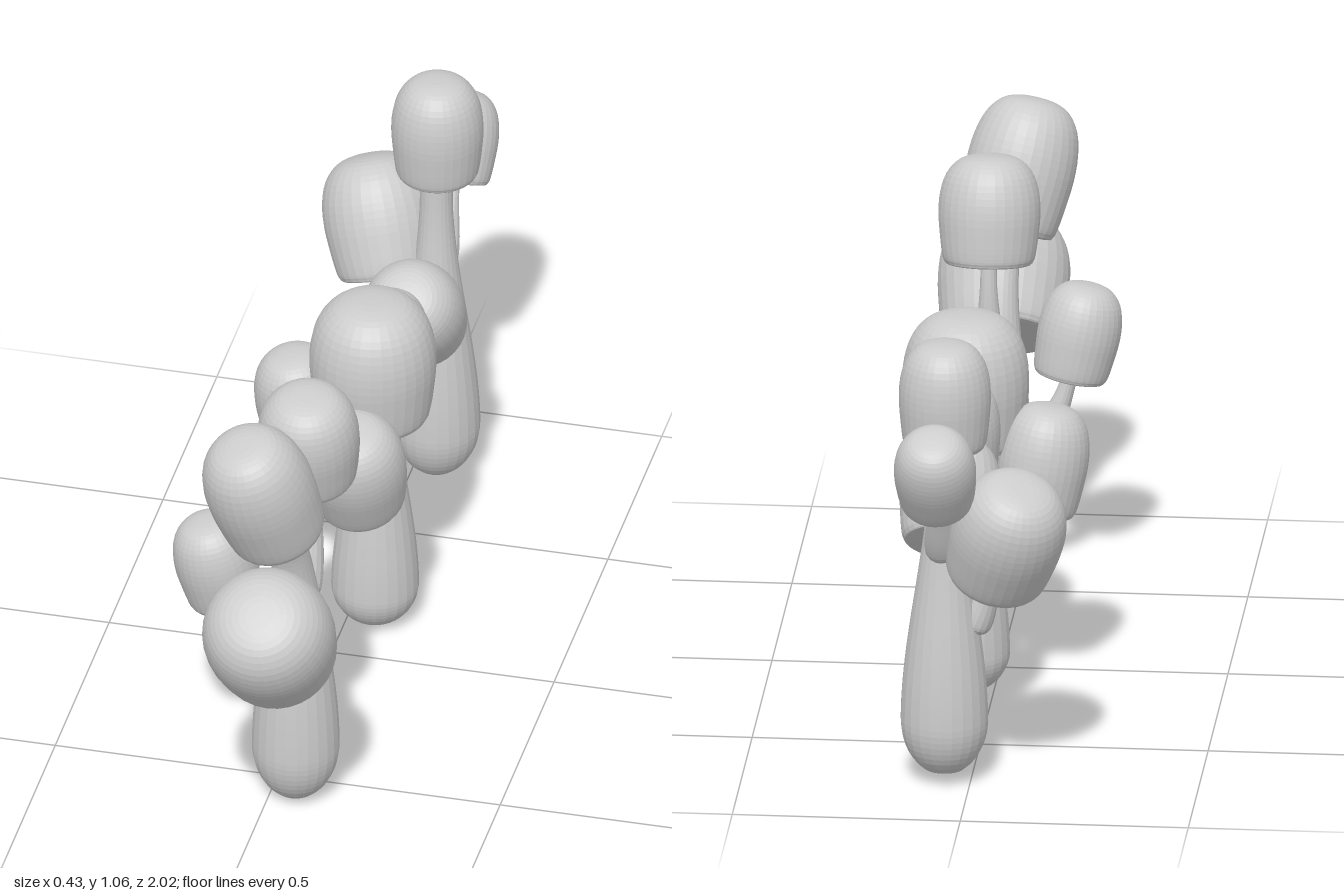
import * as THREE from 'three';
import { mergeVertices } from 'three/addons/utils/BufferGeometryUtils.js';

const { lerp, smoothstep } = THREE.MathUtils;
const vec = (x, y, z) => new THREE.Vector3(x, y, z);
const material = new THREE.MeshStandardMaterial({ color: 0xcccccc, flatShading: true });

// Half outline of a cap: flat underside, rounded lip, bulging dome
const capOutline = new THREE.SplineCurve([
  [0, 0], [0.74, 0], [0.87, 0.03], [0.92, 0.1], [0.965, 0.26], [1, 0.46],
  [0.97, 0.65], [0.85, 0.82], [0.62, 0.94], [0.32, 0.99], [0, 1],
].map(([x, y]) => new THREE.Vector2(x, y))).getPoints(30);

// Round limb along a curve: rounded foot, then narrowing from radius r0 to r1
function limb(name, curve, r0, r1, rings, sides) {
  const geometry = new THREE.TubeGeometry(curve, rings, 1, sides);
  const pos = geometry.attributes.position;
  for (let i = 0; i < pos.count; i++) {
    const t = Math.floor(i / (sides + 1)) / rings;
    const centre = curve.getPointAt(t);
    const foot = Math.sqrt(1 - (1 - Math.min(t / 0.16, 1)) ** 2);
    const radius = foot * lerp(r0, r1, smoothstep(t, 0.15, 0.9));
    const v = vec().fromBufferAttribute(pos, i).sub(centre).multiplyScalar(radius).add(centre);
    pos.setXYZ(i, v.x, v.y, v.z);
  }
  geometry.deleteAttribute('uv');
  geometry.deleteAttribute('normal');
  const merged = mergeVertices(geometry);
  merged.computeVertexNormals();
  const mesh = new THREE.Mesh(merged, material);
  mesh.name = name;
  return mesh;
}

// Bulbous trunk through the given points, ending inside the top cap
const trunk = (topRadius, ...points) =>
  limb('trunk', new THREE.CatmullRomCurve3(points), 0.096, topRadius, 56, 24);

// Cap of radius r and height h on its base centre, leaning by x and z per unit of height
function cap(name, r, h, base, leanX, leanZ) {
  const outline = capOutline.map((p) => new THREE.Vector2(Math.max(p.x, 0) * r, p.y * h));
  const mesh = new THREE.Mesh(new THREE.LatheGeometry(outline, 32), material);
  mesh.name = name;
  mesh.position.copy(base);
  mesh.quaternion.setFromUnitVectors(vec(0, 1, 0), vec(leanX, 1, leanZ).normalize());
  return mesh;
}

// Side cap with a branch that leaves the trunk at root and meets the cap along its axis
function sideCap(name, r, h, base, leanX, leanZ, root) {
  const group = new THREE.Group();
  group.name = name;
  const up = vec(leanX, 1, leanZ).normalize();
  const bend = base.clone().addScaledVector(up, -0.45 * root.distanceTo(base));
  const end = base.clone().addScaledVector(up, 0.015);
  const curve = new THREE.QuadraticBezierCurve3(root, bend, end);
  group.add(cap('cap', r, h, base, leanX, leanZ), limb('branch', curve, 0.037, 0.018, 24, 16));
  return group;
}

function cluster(name, ...parts) {
  const group = new THREE.Group();
  group.name = name;
  group.add(...parts);
  return group;
}

export function createModel() {
  const model = new THREE.Group();
  model.name = 'mushroomClusters';
  model.add(
    cluster('frontCluster',
      trunk(0.038, vec(0.055, 0.005, 0.56), vec(0.055, 0.25, 0.56), vec(0.055, 0.5, 0.567),
        vec(0.053, 0.66, 0.6), vec(0.045, 0.82, 0.68)),
      cap('topCap', 0.12, 0.3, vec(0.047, 0.772, 0.685), -0.22, 0.35),
      sideCap('frontCap', 0.145, 0.285, vec(0.065, 0.5, 0.76), 0, 0.84, vec(0.055, 0.38, 0.58)),
      sideCap('backCap', 0.112, 0.243, vec(0.065, 0.775, 0.46), 0, 0.19, vec(0.06, 0.47, 0.51)),
      sideCap('rightCap', 0.091, 0.215, vec(-0.105, 0.487, 0.545), -0.2, 0.12, vec(-0.01, 0.3, 0.56))),
    cluster('middleCluster',
      trunk(0.055, vec(0.06, 0.005, -0.155), vec(0.062, 0.4, -0.15), vec(0.065, 0.6, -0.125)),
      cap('topCap', 0.139, 0.3, vec(0.065, 0.565, -0.115), 0, 0),
      sideCap('frontCap', 0.111, 0.25, vec(0.065, 0.42, 0), 0, 0.39, vec(0.06, 0.34, -0.1)),
      sideCap('backCap', 0.087, 0.222, vec(0.062, 0.548, -0.262), 0, -0.13, vec(0.06, 0.4, -0.19)),
      sideCap('rightCap', 0.099, 0.245, vec(-0.092, 0.432, -0.175), -0.15, 0.1, vec(-0.01, 0.3, -0.155))),
    cluster('rearCluster',
      trunk(0.036, vec(0.058, 0.02, -0.735), vec(0.057, 0.45, -0.736), vec(0.055, 0.82, -0.745)),
      cap('topCap', 0.101, 0.244, vec(0.055, 0.784, -0.755), 0, 0),
      sideCap('frontCap', 0.111, 0.245, vec(0.065, 0.5, -0.58), 0, 0.92, vec(0.06, 0.385, -0.7)),
      sideCap('backCap', 0.09, 0.205, vec(0.063, 0.695, -0.86), 0, -0.58, vec(0.06, 0.53, -0.755)),
      sideCap('rightCap', 0.125, 0.27, vec(-0.055, 0.495, -0.765), -0.29, -0.43, vec(0, 0.35, -0.735))),
  );
  return model;
}
